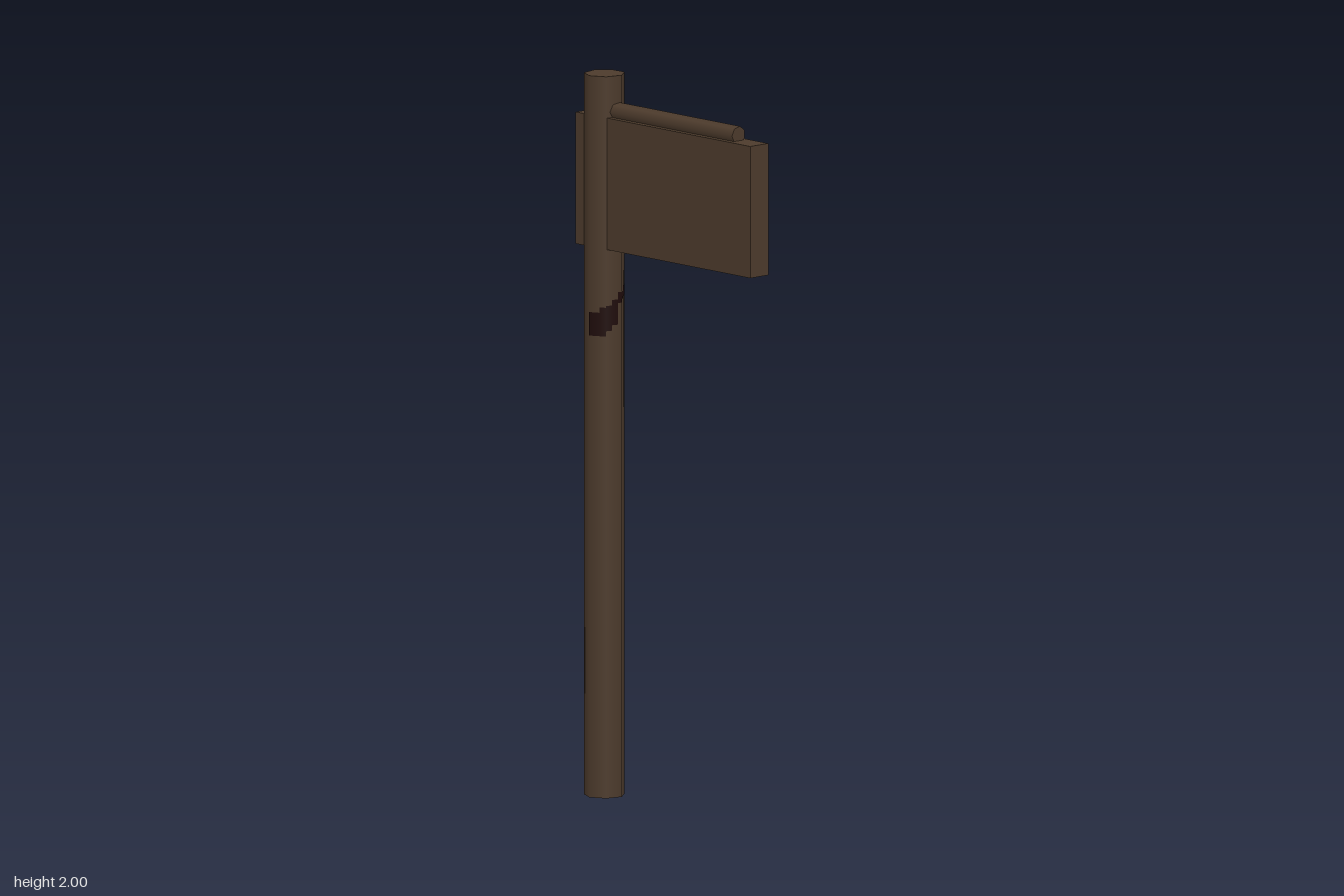
import * as THREE from 'three';

const SIDES = 7, R = 0.0567, STEP = (Math.PI * 2) / SIDES;
const PX = -0.268, PZ = -0.003;

// thin mark lying on one facet of the post; u0..u1 run across the facet
function markGeometry(facet, u0, u1, y0, y1) {
  const r = R + 0.001;
  const t0 = (facet + u0) * STEP, t1 = (facet + u1) * STEP;
  const geo = new THREE.CylinderGeometry(r, r, y1 - y0, 1, 1, true, t0, t1 - t0);
  const pos = geo.attributes.position, mid = (facet + 0.5) * STEP;
  for (let i = 0; i < pos.count; i++) {
    // pull the corners onto the flat facet
    const t = Math.atan2(pos.getX(i), pos.getZ(i));
    const k = r * Math.cos(STEP / 2) / Math.cos(t - mid);
    pos.setX(i, Math.sin(t) * k);
    pos.setZ(i, Math.cos(t) * k);
  }
  return geo.translate(PX, (y0 + y1) / 2, PZ);
}

export function createModel() {
  const group = new THREE.Group();
  const wood = new THREE.MeshStandardMaterial({ color: 0x4d3b2c });
  wood.name = 'dark brown wood';
  const stain = new THREE.MeshStandardMaterial({ color: 0x1f0c0b });
  stain.name = 'dark stain';

  const add = (name, geo, mat, x = 0, y = 0, z = 0) => {
    const mesh = new THREE.Mesh(geo, mat);
    mesh.name = name;
    mesh.position.set(x, y, z);
    group.add(mesh);
    return mesh;
  };

  // upright post, seven sides with a corner facing front
  add('post', new THREE.CylinderGeometry(R, R, 2, SIDES), wood, PX, 1, PZ);

  // sign board passing through the post
  add('signBoard', new THREE.BoxGeometry(0.697, 0.365, 0.067), wood, 0, 1.703, -0.004);

  // rod along the top of the board
  const rod = add('topRod', new THREE.CylinderGeometry(0.0248, 0.0248, 0.534, SIDES), wood, -0.001, 1.901, -0.004);
  rod.rotation.z = Math.PI / 2;

  // ragged stain climbing round the post: facet, from, to, bottom, top
  const marks = [
    [0, 0, 0.6, 1.28, 1.345], [0, 0.6, 1, 1.28, 1.36],
    [1, 0, 0.35, 1.295, 1.365], [1, 0.35, 0.75, 1.31, 1.38], [1, 0.75, 1, 1.37, 1.4],
    [2, 0, 0.4, 1.38, 1.4], [2, 0.4, 0.85, 1.385, 1.415],
    [3, 0.4, 1, 1.48, 1.515],
    [4, 0, 0.5, 1.485, 1.53], [4, 0.5, 1, 1.485, 1.51],
    [3, 0.3, 0.65, 0.72, 0.738], [3, 0.65, 1, 0.725, 0.748],
  ];
  marks.forEach((m, i) => add('stain' + (i + 1), markGeometry(...m), stain));

  return group;
}
